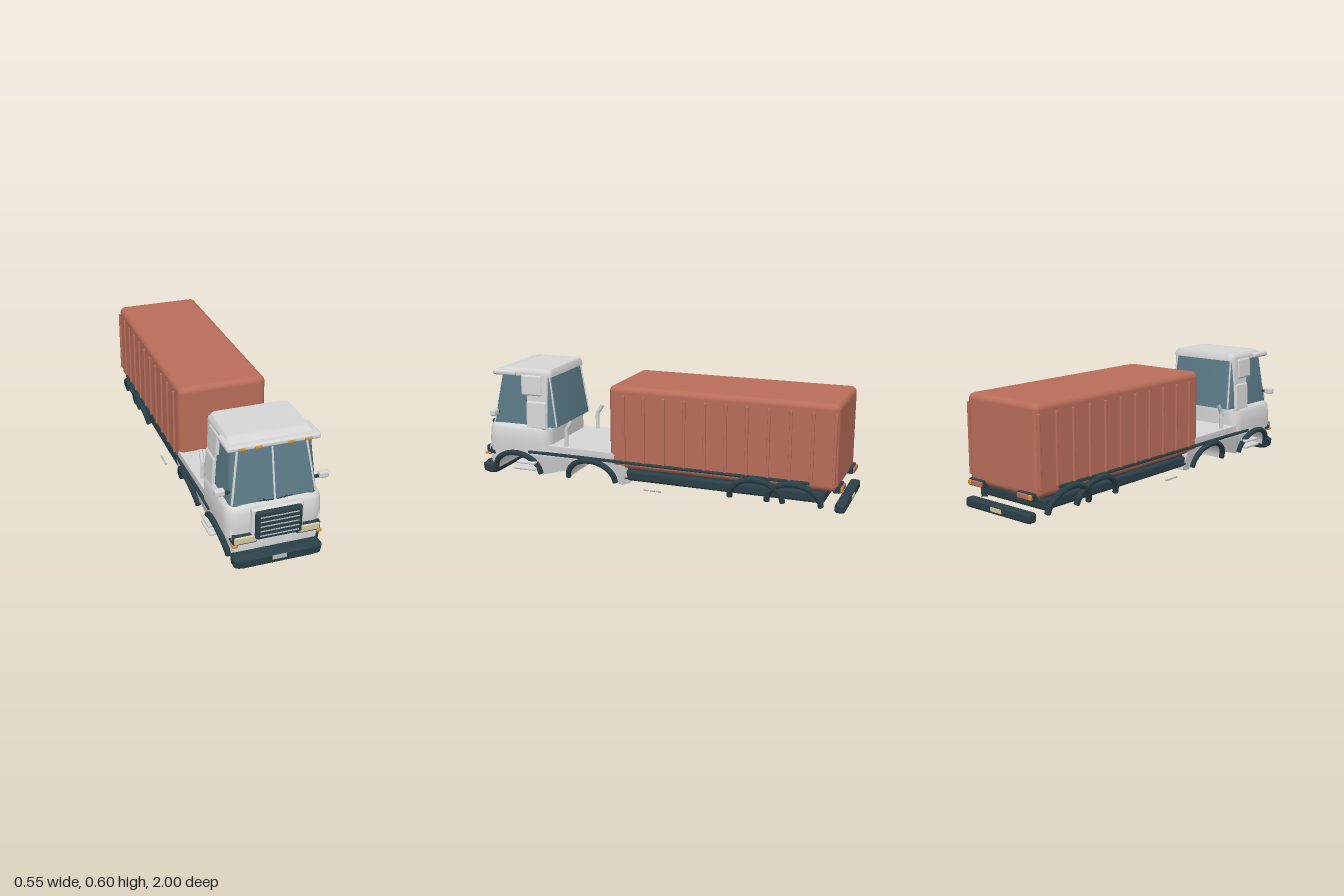
import * as THREE from 'three';
import { toCreasedNormals } from 'three/addons/utils/BufferGeometryUtils.js';
import { RoundedBoxGeometry } from 'three/addons/geometries/RoundedBoxGeometry.js';

const paint = (name, color) => {
  const m = new THREE.MeshStandardMaterial({ color });
  m.name = name;
  return m;
};

export function createModel() {
  const white = paint('white paint', 0xd6d6d6);
  const rust = paint('terracotta', 0xb96d5a);
  const dark = paint('dark trim', 0x2b4047);
  const glass = paint('blue glass', 0x5b7b87);
  const amber = paint('amber lamp', 0xd6902f);
  const cream = paint('cream lamp', 0xd6caa2);
  const silver = paint('silver trim', 0xb4bfbc);

  const truck = new THREE.Group();
  truck.name = 'truck';
  const add = (name, geo, mat) => {
    const m = new THREE.Mesh(geo, mat);
    m.name = name;
    truck.add(m);
    return m;
  };
  // Box given by its limits, rounded when r > 0
  const box = (name, mat, [x0, x1], [y0, y1], [z0, z1], r = 0) => {
    const s = [x1 - x0, y1 - y0, z1 - z0];
    const g = r ? new RoundedBoxGeometry(...s, 3, r) : new THREE.BoxGeometry(...s);
    g.translate((x0 + x1) / 2, (y0 + y1) / 2, (z0 + z1) / 2);
    return add(name, g, mat);
  };
  // Same box on both sides
  const pair = (name, mat, [x0, x1], y, z, r = 0) => {
    box(name, mat, [x0, x1], y, z, r);
    box(name, mat, [-x1, -x0], y, z, r);
  };
  const tube = (name, mat, pts, r, seg = 24) => {
    const c = new THREE.CatmullRomCurve3(pts.map(p => new THREE.Vector3(...p)));
    return add(name, new THREE.TubeGeometry(c, seg, r, 8), mat);
  };
  const rod = (name, mat, a, b, r) => {
    const p = new THREE.Vector3(...a), q = new THREE.Vector3(...b);
    const m = add(name, new THREE.CylinderGeometry(r, r, p.distanceTo(q), 8), mat);
    m.position.copy(p).add(q).multiplyScalar(0.5);
    m.quaternion.setFromUnitVectors(new THREE.Vector3(0, 1, 0), q.sub(p).normalize());
    return m;
  };
  // Stack of rounded rectangles: [y, halfWidth, zBack, zFront, radius]
  const loft = (sections) => {
    const per = 6, n = per * 4, pos = [], idx = [];
    for (const [y, w, z0, z1, r] of sections) {
      const zc = (z0 + z1) / 2, d = (z1 - z0) / 2;
      for (let q = 0; q < 4; q++) {
        for (let k = 0; k < per; k++) {
          const t = (q + k / (per - 1)) * Math.PI / 2;
          const sx = q === 0 || q === 3 ? 1 : -1, sz = q < 2 ? 1 : -1;
          pos.push(sx * (w - r) + r * Math.cos(t), y, zc + sz * (d - r) + r * Math.sin(t));
        }
      }
    }
    const rows = sections.length;
    for (let i = 0; i < rows - 1; i++) {
      for (let j = 0; j < n; j++) {
        const a = i * n + j, b = i * n + (j + 1) % n;
        idx.push(a, a + n, b, b, a + n, b + n);
      }
    }
    const top = (rows - 1) * n;
    for (let j = 1; j < n - 1; j++) {
      idx.push(0, j, j + 1, top, top + j + 1, top + j);
    }
    const g = new THREE.BufferGeometry();
    g.setAttribute('position', new THREE.Float32BufferAttribute(pos, 3));
    g.setIndex(idx);
    return toCreasedNormals(g, 0.7);
  };

  // Lower body: side profile with wheel tunnels, narrowing towards the ground
  const profile = new THREE.Shape();
  profile.moveTo(0.94, 0.03);
  profile.lineTo(0.945, 0.15);
  profile.lineTo(0.93, 0.195);
  profile.lineTo(0.21, 0.195);
  profile.lineTo(0.15, 0.15);
  profile.lineTo(0.13, 0.035);
  profile.lineTo(0.17, 0.02);
  profile.lineTo(0.205, 0.03);
  profile.absellipse(0.34, 0.03, 0.135, 0.11, Math.PI, 0, true);
  profile.lineTo(0.49, 0.065);
  profile.lineTo(0.63, 0.025);
  profile.lineTo(0.64, 0.03);
  profile.absellipse(0.775, 0.03, 0.135, 0.11, Math.PI, 0, true);
  const body = new THREE.ExtrudeGeometry(profile, { depth: 0.46, bevelEnabled: false, curveSegments: 20 });
  body.rotateY(-Math.PI / 2).translate(0.23, 0, 0);
  const bp = body.attributes.position;
  for (let i = 0; i < bp.count; i++) {
    const taper = Math.min(1, Math.max(0, (bp.getY(i) - 0.02) / 0.13));
    const nose = bp.getZ(i) > 0.92 ? 0.94 : 1;
    bp.setX(i, Math.sign(bp.getX(i)) * (0.202 + 0.028 * taper) * nose);
  }
  add('lowerBody', toCreasedNormals(body, 0.6), white);

  // Cab shell, glasshouse and roof
  add('cabShell', loft([
    [0.14, 0.23, 0.575, 0.945, 0.05], [0.2, 0.235, 0.575, 0.95, 0.06], [0.265, 0.232, 0.575, 0.945, 0.06],
    [0.285, 0.225, 0.575, 0.937, 0.06], [0.297, 0.21, 0.575, 0.922, 0.06]]), white);
  add('glasshouse', loft([[0.292, 0.211, 0.54, 0.922, 0.035], [0.565, 0.196, 0.582, 0.868, 0.035]]), glass);
  add('roof', loft([[0.558, 0.205, 0.57, 0.88, 0.03], [0.58, 0.205, 0.572, 0.88, 0.03], [0.597, 0.192, 0.58, 0.845, 0.03]]), white);
  box('sunVisor', white, [-0.222, 0.222], [0.556, 0.584], [0.77, 0.905], 0.012);
  for (const x of [-0.157, -0.077, 0.077, 0.157]) {
    box('markerLamp', amber, [x - 0.017, x + 0.017], [0.562, 0.574], [0.895, 0.911], 0.004);
  }
  rod('windscreenDivider', white, [0, 0.298, 0.923], [0, 0.56, 0.87], 0.005);
  for (const s of [-1, 1]) {
    rod('windscreenPillar', white, [s * 0.2, 0.298, 0.911], [s * 0.163, 0.558, 0.869], 0.006);
    rod('rearWindowPillar', white, [s * 0.197, 0.297, 0.546], [s * 0.184, 0.56, 0.585], 0.005);
    rod('wiper', dark, [s * 0.01, 0.3, 0.927], [s * 0.08, 0.304, 0.925], 0.0025);
    rod('wiperTip', dark, [s * 0.042, 0.3, 0.928], [s * 0.058, 0.309, 0.925], 0.003);
    // Door post with two raised panels
    const post = box('doorPost', white, [-0.015, 0.015], [-0.185, 0.185], [-0.062, 0.062], 0.01);
    post.position.set(s * 0.197, 0.38, 0.652);
    post.rotation.z = s * 0.035;
    const upper = box('upperPostPanel', white, [-0.012, 0.012], [-0.055, 0.055], [-0.06, 0.06], 0.011);
    upper.position.set(s * 0.202, 0.51, 0.682);
    upper.rotation.z = s * 0.05;
    const lower = box('lowerPostPanel', white, [-0.012, 0.012], [-0.075, 0.075], [-0.058, 0.058], 0.011);
    lower.position.set(s * 0.21, 0.352, 0.654);
    lower.rotation.z = s * 0.05;
    // Exhaust stack
    tube('exhaustStack', white, [[s * 0.195, 0.18, 0.49], [s * 0.195, 0.24, 0.49], [s * 0.195, 0.285, 0.488],
      [s * 0.195, 0.31, 0.472], [s * 0.195, 0.335, 0.457]], 0.011);
  }

  // Mirrors and steps
  pair('mirrorArm', dark, [0.195, 0.24], [0.344, 0.36], [0.878, 0.892], 0.005);
  pair('mirror', white, [0.226, 0.275], [0.342, 0.374], [0.868, 0.9], 0.008);
  pair('lowerStep', white, [0.19, 0.26], [0.057, 0.073], [0.65, 0.78], 0.006);
  pair('upperStep', white, [0.2, 0.26], [0.091, 0.106], [0.65, 0.76], 0.006);

  // Grille and headlamps
  box('grilleSurround', white, [-0.125, 0.125], [0.127, 0.288], [0.92, 0.968], 0.012);
  box('grille', dark, [-0.111, 0.111], [0.139, 0.28], [0.95, 0.988], 0.01);
  for (let i = 0; i < 5; i++) {
    const y = 0.16 + i * 0.024;
    box('grilleSlat', silver, [-0.093, 0.093], [y - 0.002, y + 0.002], [0.984, 0.992]);
  }
  pair('headlampHousing', dark, [0.095, 0.213], [0.113, 0.161], [0.9, 0.965], 0.008);
  pair('headlamp', cream, [0.1, 0.207], [0.122, 0.157], [0.93, 0.972], 0.006);
  pair('turnLamp', amber, [0.192, 0.216], [0.109, 0.121], [0.94, 0.976], 0.004);

  // Bumpers
  const bumper = loft([[0, 0.195, 0.925, 0.985, 0.025], [0.012, 0.212, 0.92, 0.997, 0.025],
    [0.048, 0.216, 0.92, 1, 0.025], [0.064, 0.2, 0.925, 0.985, 0.025]]);
  add('frontBumper', bumper, dark);
  box('frontPlate', silver, [-0.035, 0.035], [0.029, 0.049], [0.995, 1.003]);
  box('rearBumper', dark, [-0.215, 0.215], [0.012, 0.06], [-0.992, -0.94], 0.014);
  box('rearPlate', cream, [-0.035, 0.035], [0.027, 0.047], [-0.996, -0.989]);

  // Cargo container with side ribs
  box('container', rust, [-0.23, 0.23], [0.118, 0.55], [-0.95, 0.23], 0.03);
  for (let i = 0; i < 11; i++) {
    const z = 0.145 - i * 0.108;
    pair('containerRib', rust, [0.22, 0.239], [0.158, 0.505], [z - 0.007, z + 0.007], 0.004);
  }

  // Bed and side rails
  box('bed', dark, [-0.212, 0.212], [0.05, 0.105], [-0.89, 0.165], 0.015);
  box('bedSpacer', dark, [-0.19, 0.19], [0.09, 0.13], [-0.86, 0.15]);
  pair('sideRail', dark, [0.222, 0.24], [0.146, 0.161], [-0.82, 0.7], 0.005);

  // Wheel arch trims lean outward at the top
  for (const z of [0.775, 0.34, -0.55, -0.74]) {
    for (const s of [-1, 1]) {
      const pts = [];
      for (let i = 0; i <= 12; i++) {
        const t = Math.PI * i / 12, h = Math.sin(t);
        pts.push([s * (0.212 + 0.03 * h), 0.035 + 0.108 * h, z + 0.135 * Math.cos(t)]);
      }
      tube('wheelArch', dark, pts, 0.015, 32);
    }
  }

  // Small side reflectors
  for (const z of [0.02, -0.015, -0.05]) {
    pair('sideReflector', silver, [0.241, 0.249], [0.019, 0.026], [z - 0.012, z + 0.012]);
  }

  // Tail lamps
  pair('tailLampHousing', dark, [0.115, 0.215], [0.112, 0.148], [-0.965, -0.93], 0.006);
  pair('tailLamp', rust, [0.12, 0.19], [0.118, 0.142], [-0.975, -0.95], 0.004);
  pair('rearTurnLamp', amber, [0.191, 0.211], [0.118, 0.142], [-0.975, -0.95], 0.004);

  return truck;
}
